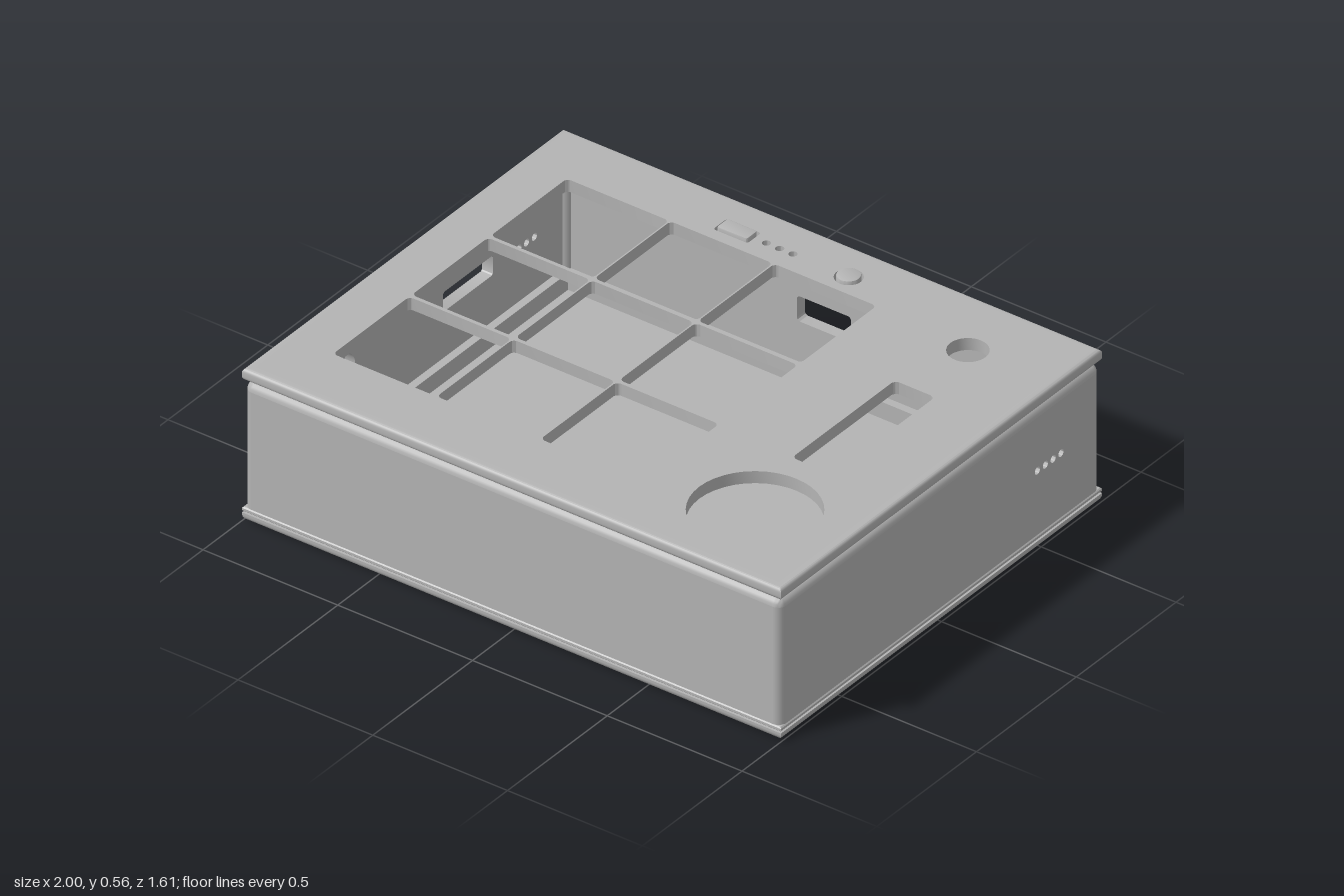
import * as THREE from 'three';
import { toCreasedNormals, mergeGeometries } from 'three/addons/utils/BufferGeometryUtils.js';

const HX = 1, HZ = 0.805;          // half size of the case
const WALL = 0.04, ROUND = 0.03;   // body wall thickness and corner radius

// Rounded rectangle path centred on (cx, cy)
function rect(Type, cx, cy, w, h, r) {
  const p = new Type(), x = cx - w / 2, y = cy - h / 2;
  p.moveTo(x + r, y);
  p.lineTo(x + w - r, y);
  if (r) p.absarc(x + w - r, y + r, r, -Math.PI / 2, 0);
  p.lineTo(x + w, y + h - r);
  if (r) p.absarc(x + w - r, y + h - r, r, 0, Math.PI / 2);
  p.lineTo(x + r, y + h);
  if (r) p.absarc(x + r, y + h - r, r, Math.PI / 2, Math.PI);
  p.lineTo(x, y + r);
  if (r) p.absarc(x + r, y + r, r, Math.PI, Math.PI * 1.5);
  return p;
}

function circle(Type, cx, cy, r) {
  return new Type().absarc(cx, cy, r, 0, Math.PI * 2);
}

// Sweep a profile of [inset, y] points around a rectangle
function sweep(hx, hz, radius, profile) {
  const segs = radius ? 6 : 0, loops = [];
  for (let q = 0; q < 4; q++) {
    for (let s = 0; s <= segs; s++) {
      const a = (q + (segs ? s / segs : 0.5)) * Math.PI / 2;
      const sx = q === 0 || q === 3 ? 1 : -1, sz = q < 2 ? 1 : -1;
      loops.push(profile.map(([d, y]) => {
        const r = Math.max(radius - d, 0);
        return [sx * (hx - d - r) + r * Math.cos(a), y, sz * (hz - d - r) + r * Math.sin(a)];
      }));
    }
  }
  const pos = [];
  loops.forEach((A, i) => {
    const B = loops[(i + 1) % loops.length];
    for (let j = 0; j < profile.length - 1; j++) {
      pos.push(...A[j], ...A[j + 1], ...B[j], ...A[j + 1], ...B[j + 1], ...B[j]);
    }
  });
  const g = new THREE.BufferGeometry();
  g.setAttribute('position', new THREE.Float32BufferAttribute(pos, 3));
  return toCreasedNormals(g, 0.6);
}

// Quarter-round edge points, from angle a0 to a1 around (r, y)
function edge(r, y, a0, a1, n = 5) {
  return Array.from({ length: n + 1 }, (_, i) => {
    const a = a0 + (a1 - a0) * i / n;
    return [r - r * Math.cos(a), y + r * Math.sin(a)];
  });
}

// Flat plate lying in xz, its shape drawn in (x, -z)
function plate(shape, y, depth, bevel = 0) {
  const g = new THREE.ExtrudeGeometry(shape, {
    depth: depth - bevel, curveSegments: 20, bevelEnabled: bevel > 0,
    bevelSize: bevel, bevelThickness: bevel, bevelOffset: -bevel, bevelSegments: 2,
  });
  g.rotateX(-Math.PI / 2).translate(0, y, 0);
  return toCreasedNormals(g, 0.6);
}

export function createModel() {
  const model = new THREE.Group();
  const grey = new THREE.MeshStandardMaterial({ color: 0xb4b4b4 });
  grey.name = 'case grey';
  const add = (name, geometry) => {
    const m = new THREE.Mesh(geometry, grey);
    m.name = name;
    model.add(m);
    return m;
  };
  const H = Math.PI / 2;

  // Base plate with rounded lower edge, seam, lip and inner rim
  add('basePlate', sweep(HX, HZ, 0,
    [[HZ, 0], ...edge(0.024, 0.024, -H, 0), [0, 0.03], [HZ, 0.03]]));
  add('baseSeam', sweep(HX - 0.012, HZ - 0.012, 0,
    [[0, 0.028], [0, 0.06], [0.03, 0.06], [0.03, 0.028]]));
  add('baseLip', sweep(HX, HZ, 0,
    [[0.03, 0.034], [0.004, 0.034], [0, 0.038], [0, 0.046], [0.004, 0.05], [0.03, 0.05]]));
  add('baseInnerRim', sweep(HX - WALL, HZ - WALL, 0,
    [[0, 0.03], [0, 0.09], [0.03, 0.09], [0.03, 0.03]]));

  // Body walls with their openings
  const bx = HX - 0.003, bz = HZ - 0.003, y0 = 0.05, yTop = 0.5, y1 = yTop - ROUND;
  const wall = (name, half, holes, turn, distance) => {
    const shape = rect(THREE.Shape, 0, (y0 + y1) / 2, 2 * (half - ROUND), y1 - y0, 0);
    shape.holes.push(...holes);
    const g = new THREE.ExtrudeGeometry(shape, { depth: WALL, bevelEnabled: false, curveSegments: 16 });
    g.translate(0, 0, distance - WALL).rotateY(turn);
    add(name, toCreasedNormals(g, 0.6));
  };
  const vents = (sign) => [-0.485, -0.525, -0.564, -0.603]
    .map((z) => circle(THREE.Path, sign * z, 0.28, 0.013));
  wall('frontWall', bx, [], 0, bz);
  wall('backWall', bx, [rect(THREE.Path, 0, 0.28, 0.2, 0.09, 0.012)], Math.PI, bz);
  wall('rightSideWall', bz, vents(-1), H, bx);
  wall('leftSideWall', bz, [
    ...vents(1),
    rect(THREE.Path, -0.27, 0.29, 0.25, 0.07, 0.01),
    circle(THREE.Path, 0.36, 0.305, 0.065),
  ], -H, bx);

  // Rounded vertical corners and rounded top edge of the body
  for (const sx of [-1, 1]) {
    for (const sz of [-1, 1]) {
      const g = new THREE.CylinderGeometry(ROUND, ROUND, y1 - y0, 24);
      g.translate(sx * (bx - ROUND), (y0 + y1) / 2, sz * (bz - ROUND));
      add('bodyCorner', g);
    }
  }
  add('bodyTopEdge', sweep(bx, bz, ROUND,
    [...edge(ROUND, y1, 0, H), [WALL, yTop], [WALL, y1]]));

  // Lid with key openings, dial openings, slider slot and indicator holes
  const lidY = 0.503, lidH = 0.043, rim = 0.03;
  const lid = rect(THREE.Shape, 0, 0, 2 * (HX - rim), 2 * (HZ - rim), 0);
  for (const x of [-0.638, -0.253, 0.132]) {
    for (const z of [-0.4, -0.005, 0.39]) {
      lid.holes.push(rect(THREE.Path, x, -z, 0.38, 0.382, 0.018));
    }
  }
  lid.holes.push(
    circle(THREE.Path, 0.682, -0.505, 0.207),
    circle(THREE.Path, 0.682, 0.562, 0.065),
    rect(THREE.Path, 0.679, 0.043, 0.15, 0.515, 0.02),
    rect(THREE.Path, -0.252, 0.667, 0.128, 0.068, 0.01),
    circle(THREE.Path, 0.162, 0.667, 0.045),
    ...[-0.143, -0.094, -0.045].map((x) => circle(THREE.Path, x, 0.667, 0.014)),
  );
  add('lid', plate(lid, lidY, lidH));
  add('lidEdge', sweep(HX, HZ, 0, [
    [rim, lidY],
    ...edge(0.014, lidY + 0.014, -H, 0),
    ...edge(0.014, lidY + lidH - 0.014, 0, H),
    [rim, lidY + lidH],
  ]));
  add('lidSeat', sweep(HX - 0.035, HZ - 0.035, 0,
    [[0, 0.485], [0, 0.505], [0.03, 0.505], [0.03, 0.485], [0, 0.485]]));

  // Raised push buttons
  add('barButton', plate(rect(THREE.Shape, -0.252, 0.667, 0.112, 0.054, 0.008), 0.505, 0.05, 0.004));
  add('roundButton', plate(circle(THREE.Shape, 0.162, 0.667, 0.038), 0.505, 0.05, 0.004));

  return model;
}
